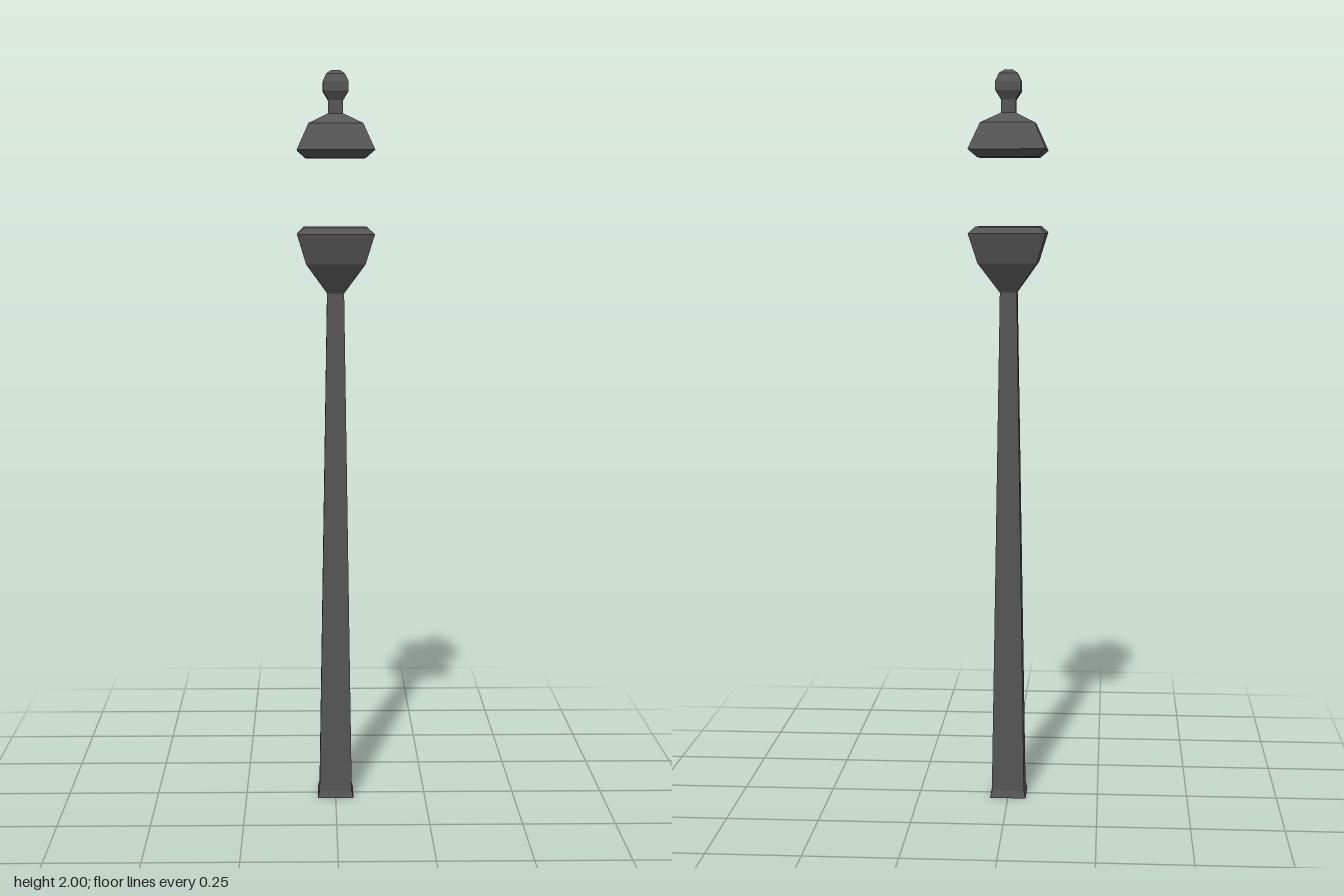
import * as THREE from 'three';

const material = new THREE.MeshStandardMaterial({ color: 0x555555, flatShading: true });
const DEPTH = 0.945; // the section is slightly shallower in z than in x

// Four-sided turned solid from [half width, height] pairs, bottom to top, closed at both ends
function squareTurned(name, profile) {
  const points = [[0, profile[0][1]], ...profile, [0, profile[profile.length - 1][1]]]
    .map(([half, y]) => new THREE.Vector2(half * Math.SQRT2, y));
  const geometry = new THREE.LatheGeometry(points, 4, Math.PI / 4).toNonIndexed();
  geometry.scale(1, 1, DEPTH);
  geometry.computeVertexNormals();
  const mesh = new THREE.Mesh(geometry, material);
  mesh.name = name;
  return mesh;
}

export function createModel() {
  const group = new THREE.Group();
  group.name = 'lampPost';

  // Tapered post with a slight lip at the foot
  group.add(squareTurned('post', [[0.05, 0], [0.045, 0.02], [0.023, 1.41]]));

  // Flared lantern base with a chamfered top
  group.add(squareTurned('lanternBase', [
    [0.023, 1.41], [0.079, 1.49], [0.103, 1.57], [0.085, 1.587],
  ]));

  // Floating lantern roof
  group.add(squareTurned('lanternRoof', [
    [0.08, 1.77], [0.103, 1.79], [0.072, 1.86], [0.02, 1.887],
  ]));

  // Finial: neck and faceted knob
  group.add(squareTurned('finial', [
    [0.02, 1.887], [0.02, 1.922], [0.034, 1.945], [0.034, 1.97], [0.025, 1.99], [0.0115, 2],
  ]));

  return group;
}
